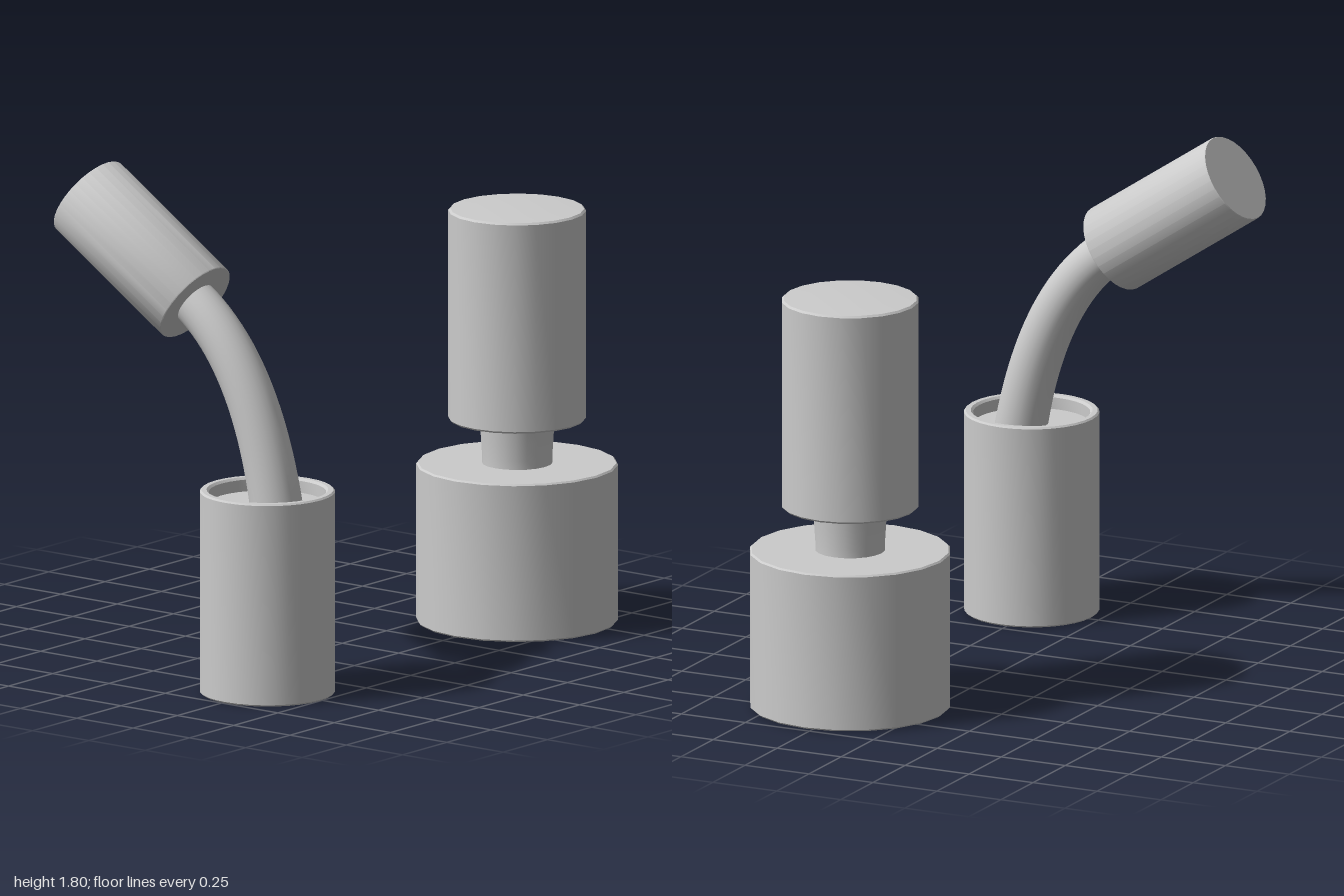
import * as THREE from 'three';
import { toCreasedNormals } from 'three/addons/utils/BufferGeometryUtils.js';

const material = new THREE.MeshStandardMaterial({ color: 0xcccccc });

function addMesh(parent, name, geometry) {
  const mesh = new THREE.Mesh(geometry, material);
  mesh.name = name;
  parent.add(mesh);
  return mesh;
}

// Revolved part from a profile of [radius, height] pairs, drawn counter-clockwise
function turned(profile, sides) {
  const points = profile.map(([r, y]) => new THREE.Vector2(r, y));
  return toCreasedNormals(new THREE.LatheGeometry(points, sides), 0.6);
}

// Tube along a curve whose radius runs evenly from r0 to r1
function taperedTube(curve, r0, r1, steps, sides) {
  const geometry = new THREE.TubeGeometry(curve, steps, 1, sides);
  const pos = geometry.attributes.position;
  const v = new THREE.Vector3();
  for (let i = 0; i <= steps; i++) {
    const centre = curve.getPointAt(i / steps);
    const r = THREE.MathUtils.lerp(r0, r1, i / steps);
    for (let j = 0; j <= sides; j++) {
      const k = i * (sides + 1) + j;
      v.fromBufferAttribute(pos, k).sub(centre).multiplyScalar(r).add(centre);
      pos.setXYZ(k, v.x, v.y, v.z);
    }
  }
  return geometry;
}

// Hollow sleeve with a bent stem carrying a solid grip
function createStick() {
  const stick = new THREE.Group();
  stick.name = 'stick';
  stick.position.set(-0.764, 0, 0.268);

  // Sleeve: open below, shallow recess on top
  addMesh(stick, 'stickSleeve', turned([
    [0, 0.63], [0.205, 0.63], [0.205, 0.008], [0.213, 0], [0.231, 0], [0.237, 0.006],
    [0.237, 0.719], [0.231, 0.725], [0.213, 0.725], [0.205, 0.717], [0.205, 0.675], [0, 0.675],
  ], 32));

  // Stem curves backwards from the recess floor into the grip
  const gripBase = new THREE.Vector3(0, 1.349, -0.32);
  const gripAxis = new THREE.Vector3(0, 0.552, -0.834).normalize();
  const curve = new THREE.QuadraticBezierCurve3(
    new THREE.Vector3(0, 0.66, 0.042),
    new THREE.Vector3(0, 1.165, -0.048),
    gripBase.clone().addScaledVector(gripAxis, 0.01),
  );
  addMesh(stick, 'stickStem', taperedTube(curve, 0.093, 0.081, 24, 24));

  // Grip
  const grip = addMesh(stick, 'stickGrip', turned([
    [0, 0], [0.159, 0], [0.161, 0.003], [0.161, 0.568], [0.159, 0.571], [0, 0.571],
  ], 32));
  grip.position.copy(gripBase);
  grip.quaternion.setFromUnitVectors(new THREE.Vector3(0, 1, 0), gripAxis);
  return stick;
}

// Wide hollow base with a short neck and a tall cap
function createPlunger() {
  const plunger = new THREE.Group();
  plunger.name = 'plunger';
  plunger.position.set(0.647, 0, 0.268);

  addMesh(plunger, 'plungerBase', turned([
    [0, 0.53], [0.315, 0.53], [0.315, 0.012], [0.322, 0.005], [0.347, 0.005], [0.353, 0.011],
    [0.353, 0.564], [0.347, 0.57], [0, 0.57],
  ], 20));

  addMesh(plunger, 'plungerNeck', turned([
    [0.123, 0.56], [0.123, 0.6], [0.127, 0.66], [0.131, 0.735],
  ], 20));

  // Cap with a faintly domed top
  addMesh(plunger, 'plungerCap', turned([
    [0, 0.725], [0.234, 0.725], [0.241, 0.732], [0.241, 1.472], [0.234, 1.479],
    [0.15, 1.483], [0, 1.485],
  ], 20));
  return plunger;
}

export function createModel() {
  const model = new THREE.Group();
  model.name = 'controlSticks';
  model.add(createStick(), createPlunger());
  return model;
}
